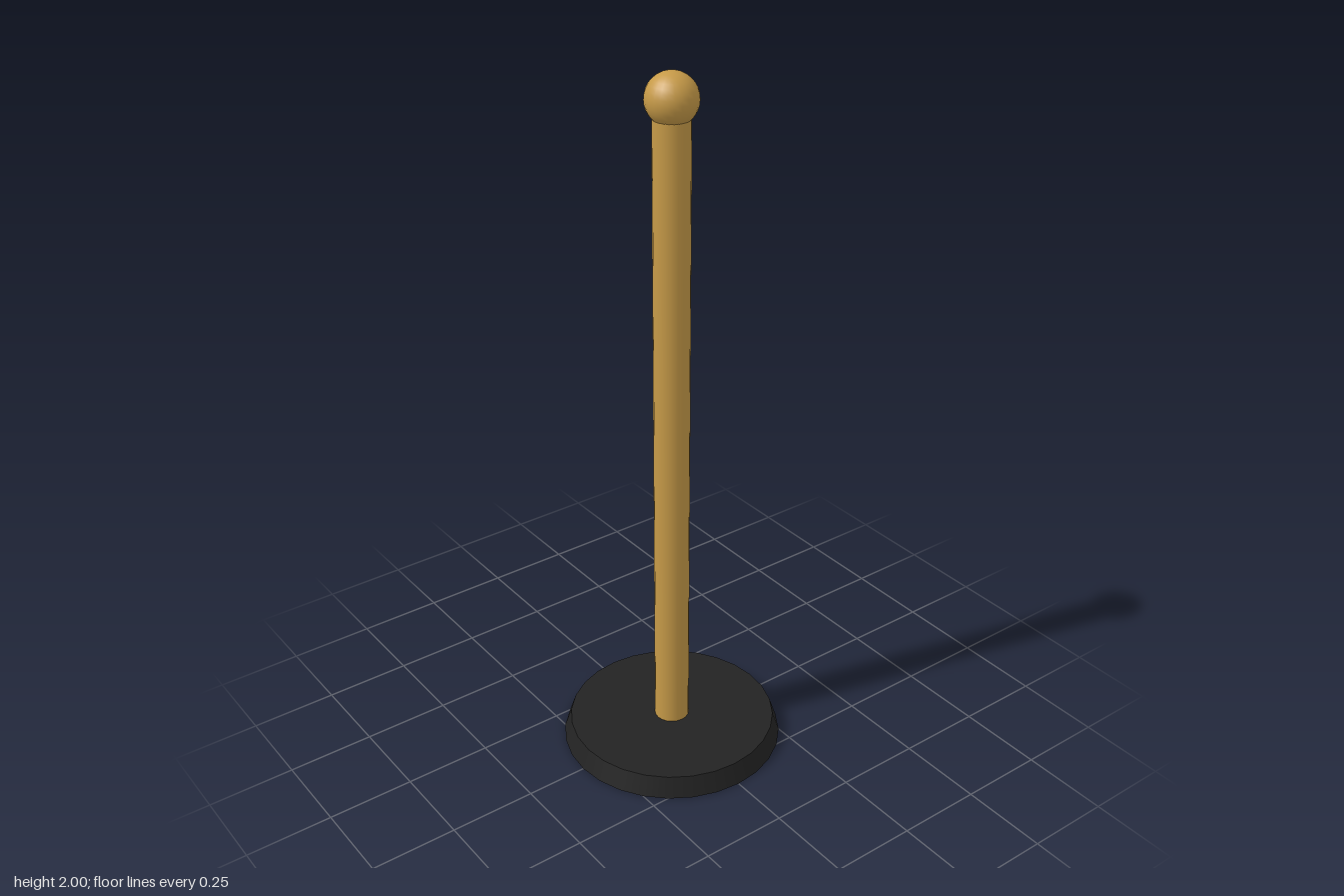
import * as THREE from 'three';

export function createModel() {
  const group = new THREE.Group();
  const brass = new THREE.MeshStandardMaterial({ color: 0xc69a48 });
  brass.name = 'brass';
  const black = new THREE.MeshStandardMaterial({ color: 0x222222 });
  black.name = 'black';

  const add = (name, geometry, material, y) => {
    const mesh = new THREE.Mesh(geometry, material);
    mesh.name = name;
    mesh.position.y = y;
    group.add(mesh);
  };

  // Tapered foot, upright post and ball on top
  add('base', new THREE.CylinderGeometry(0.3, 0.32, 0.06, 28), black, 0.03);
  add('post', new THREE.CylinderGeometry(0.05, 0.05, 1.84, 20), brass, 0.97);
  add('ballFinial', new THREE.SphereGeometry(0.07, 24, 16), brass, 1.93);

  return group;
}
